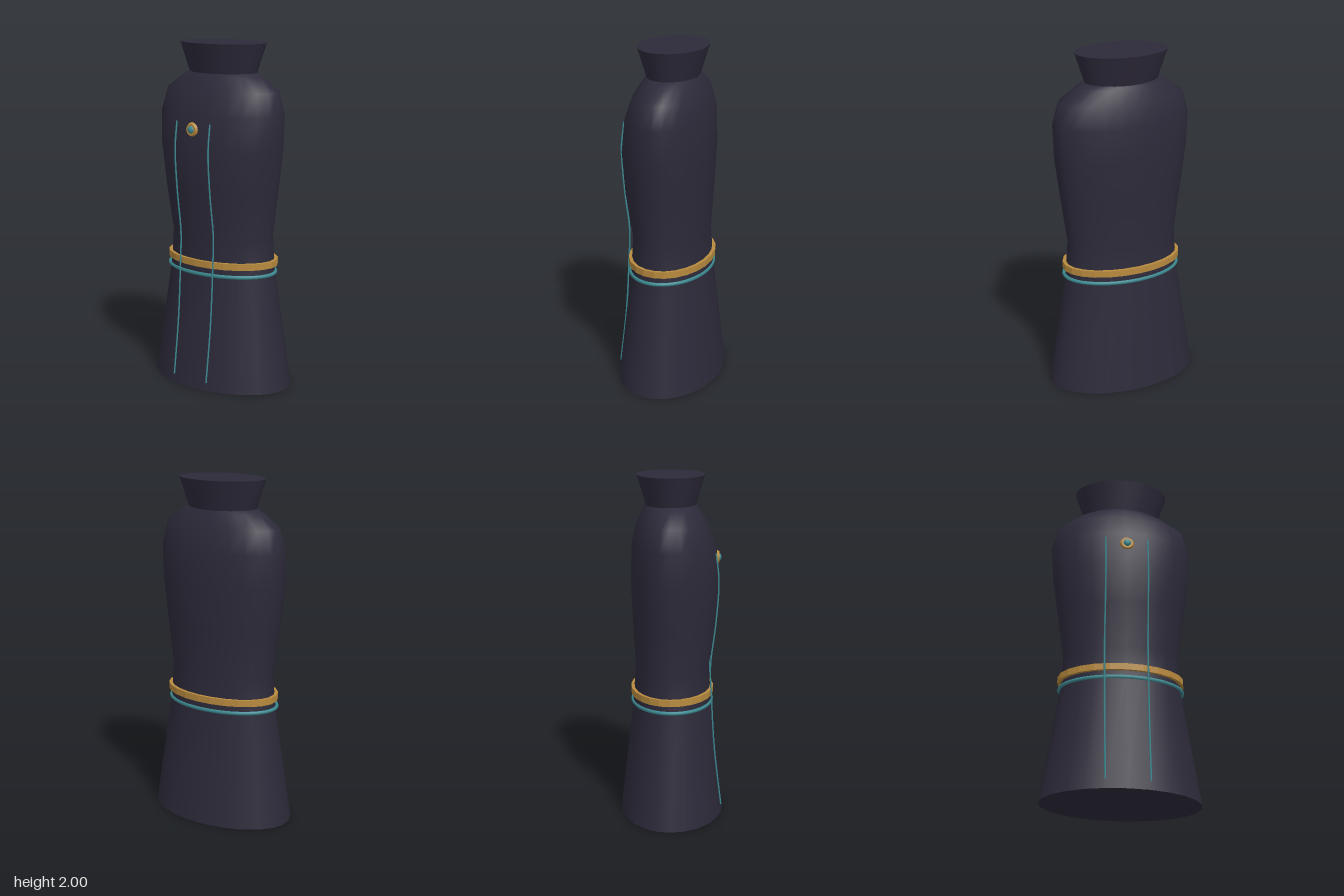
import * as THREE from 'three';
import { mergeGeometries } from 'three/addons/utils/BufferGeometryUtils.js';

const SIDES = 24;
const CENTRE_Z = -0.01;

const cloth = new THREE.MeshStandardMaterial({ color: 0x2d2a3a });
const gold = new THREE.MeshStandardMaterial({ color: 0xb88a3e });
const teal = new THREE.MeshStandardMaterial({ color: 0x3d8a92 });

// Skin over oval rings, each given as [y, half width, front z, back z]
function loft(rings, caps = true) {
  const ringPoints = ([y, rx, front, back]) => {
    const pts = [];
    for (let i = 0; i < SIDES; i++) {
      const a = (i / SIDES) * Math.PI * 2;
      const c = Math.cos(a);
      const rz = c > 0 ? front - CENTRE_Z : CENTRE_Z - back;
      pts.push(Math.sin(a) * rx, y, CENTRE_Z + c * rz);
    }
    return pts;
  };
  const build = (positions, index) => {
    const g = new THREE.BufferGeometry();
    g.setAttribute('position', new THREE.Float32BufferAttribute(positions, 3));
    g.setIndex(index);
    g.computeVertexNormals();
    return g;
  };
  const index = [];
  for (let j = 0; j < rings.length - 1; j++) {
    for (let i = 0; i < SIDES; i++) {
      const k = (i + 1) % SIDES;
      const a = j * SIDES + i, b = j * SIDES + k;
      index.push(a, b, b + SIDES, a, b + SIDES, a + SIDES);
    }
  }
  const parts = [build(rings.flatMap(ringPoints), index)];
  if (caps) {
    [rings[0], rings[rings.length - 1]].forEach((ring, top) => {
      const tri = [];
      for (let i = 0; i < SIDES; i++) {
        const k = (i + 1) % SIDES;
        tri.push(SIDES, top ? i : k, top ? k : i);
      }
      parts.push(build([...ringPoints(ring), 0, ring[0], CENTRE_Z], tri));
    });
  }
  return mergeGeometries(parts);
}

function flat(geometry) {
  const g = geometry.toNonIndexed();
  g.computeVertexNormals();
  return g;
}

// Oval hoop with a rectangular section
function hoop(y0, y1, rx, rz, t) {
  const outer = (y) => [y, rx, rz, -rz];
  const inner = (y) => [y, rx - t, rz - t, t - rz];
  return flat(loft([inner(y0), outer(y0), outer(y1), inner(y1), inner(y0)], false));
}

export function createModel() {
  const model = new THREE.Group();
  const add = (name, geometry, material, parent = model) => {
    const mesh = new THREE.Mesh(geometry, material);
    mesh.name = name;
    parent.add(mesh);
    return mesh;
  };

  // Robe: flared skirt, waist, chest and sloping shoulders
  add('robe', loft([
    [0, 0.462, 0.303, -0.305],
    [0.68, 0.352, 0.229, -0.228],
    [0.88, 0.338, 0.217, -0.215],
    [1.15, 0.375, 0.26, -0.23],
    [1.4, 0.409, 0.276, -0.241],
    [1.6, 0.42, 0.251, -0.235],
    [1.73, 0.388, 0.202, -0.205],
    [1.81, 0.275, 0.152, -0.163],
    [1.832, 0.22, 0.135, -0.148],
  ]), cloth);

  // Flared stand-up collar
  add('collar', loft([
    [1.825, 0.222, 0.137, -0.152],
    [2, 0.28, 0.19, -0.206],
  ]), cloth);

  // Belt and the cord beneath it
  add('belt', hoop(0.72, 0.758, 0.37, 0.243, 0.02), gold);
  const cord = add('beltCord', new THREE.TorusGeometry(1, 0.028, 8, 48), teal);
  cord.rotation.x = Math.PI / 2;
  cord.scale.set(0.36, 0.236, 0.4);
  cord.position.y = 0.678;

  // Piping down the front, following the robe
  for (const side of [-1, 1]) {
    const path = new THREE.CatmullRomCurve3([
      [1.56, 0.252], [1.4, 0.269], [1.15, 0.253], [0.9, 0.224],
      [0.73, 0.23], [0.4, 0.25], [0.05, 0.291],
    ].map(([y, z]) => new THREE.Vector3(side * 0.125, y, z)));
    add(side > 0 ? 'leftPiping' : 'rightPiping', new THREE.TubeGeometry(path, 40, 0.005, 6), teal);
  }

  // Round clasp on the chest
  const clasp = new THREE.Group();
  clasp.name = 'clasp';
  clasp.position.set(0, 1.52, 0.267);
  model.add(clasp);
  const disc = add('claspDisc', new THREE.CylinderGeometry(0.034, 0.042, 0.014, 20), gold, clasp);
  disc.rotation.x = Math.PI / 2;
  const stone = add('claspStone', new THREE.SphereGeometry(0.022, 16, 10), teal, clasp);
  stone.scale.z = 0.6;
  stone.position.z = 0.006;

  return model;
}
